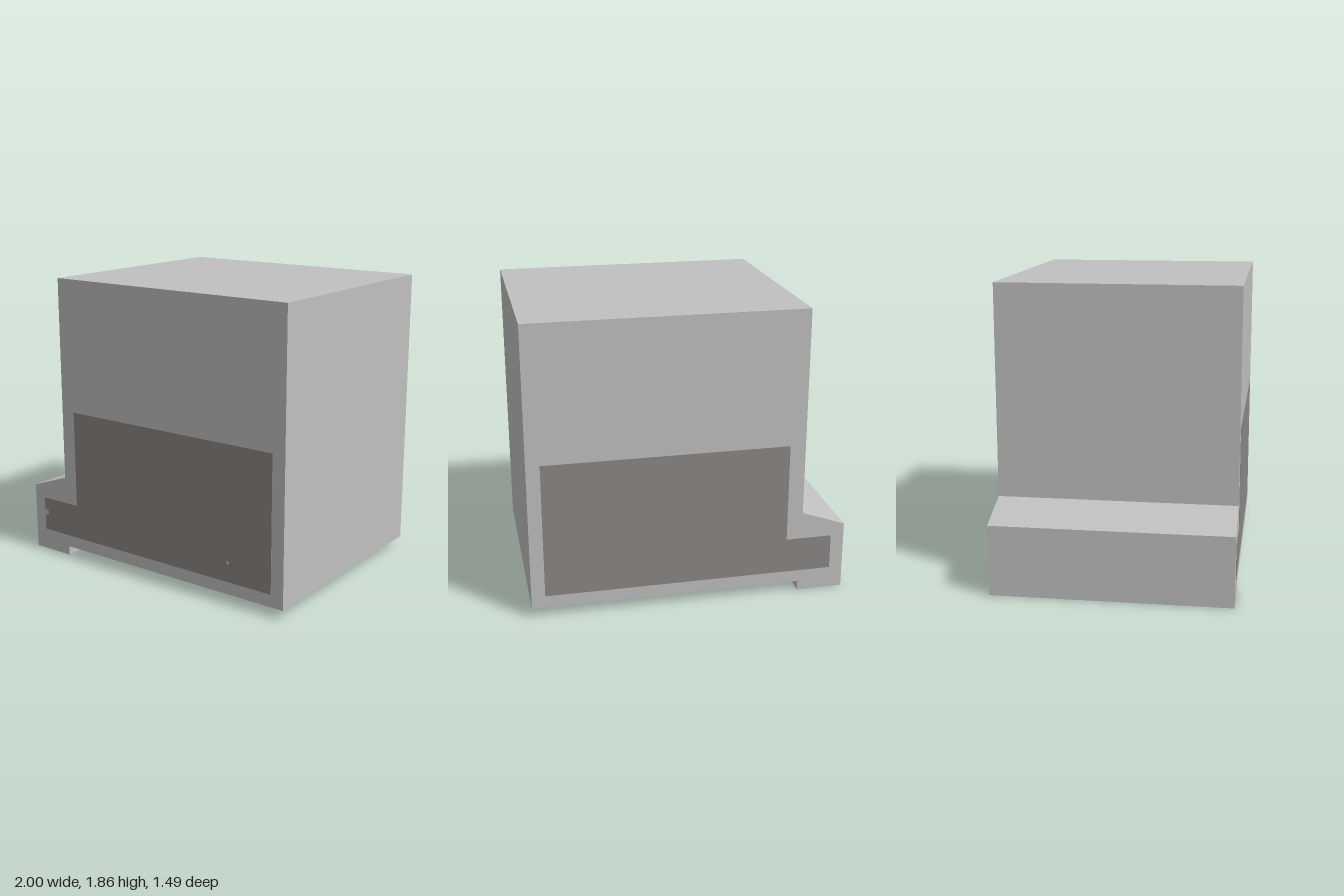
import * as THREE from 'three';

const HALF_DEPTH = 0.74;

const shapeOf = (points) => new THREE.Shape(points.map(([x, y]) => new THREE.Vector2(x, y)));

// Extrudes a side profile along z, centred on zMid
function slab(name, points, depth, zMid, material) {
  const geometry = new THREE.ExtrudeGeometry(shapeOf(points), { depth, bevelEnabled: false });
  geometry.translate(0, 0, zMid - depth / 2);
  const mesh = new THREE.Mesh(geometry, material);
  mesh.name = name;
  return mesh;
}

export function createModel() {
  const model = new THREE.Group();
  model.name = 'steppedHousing';

  const lightGrey = new THREE.MeshStandardMaterial({ color: 0xc0c0c0 });
  lightGrey.name = 'lightGrey';
  const warmGrey = new THREE.MeshStandardMaterial({ color: 0x8c8783 });
  warmGrey.name = 'warmGrey';

  // Main block with sloped ledge and low foot on the -x side
  model.add(slab('housing', [
    [-1, 0], [-0.705, 0], [-0.705, 0.06], [1, 0.06],
    [1, 1.86], [-0.72, 1.86], [-0.72, 0.54], [-1, 0.44],
  ], HALF_DEPTH * 2, 0, lightGrey));

  // L-shaped panels on the front and back faces
  const panel = [
    [-0.915, 0.14], [0.915, 0.14], [0.915, 1],
    [-0.62, 1], [-0.62, 0.365], [-0.915, 0.365],
  ];
  model.add(slab('frontPanel', panel, 0.004, HALF_DEPTH, warmGrey));
  model.add(slab('backPanel', panel, 0.004, -HALF_DEPTH, warmGrey));

  // Small studs on the front panel
  for (const [name, x, radius] of [['edgeStud', -0.902, 0.02], ['smallStud', 0.607, 0.011]]) {
    const stud = new THREE.Mesh(new THREE.CircleGeometry(radius, 16), lightGrey);
    stud.name = name;
    stud.position.set(x, 0.265, HALF_DEPTH + 0.004);
    model.add(stud);
  }

  return model;
}
